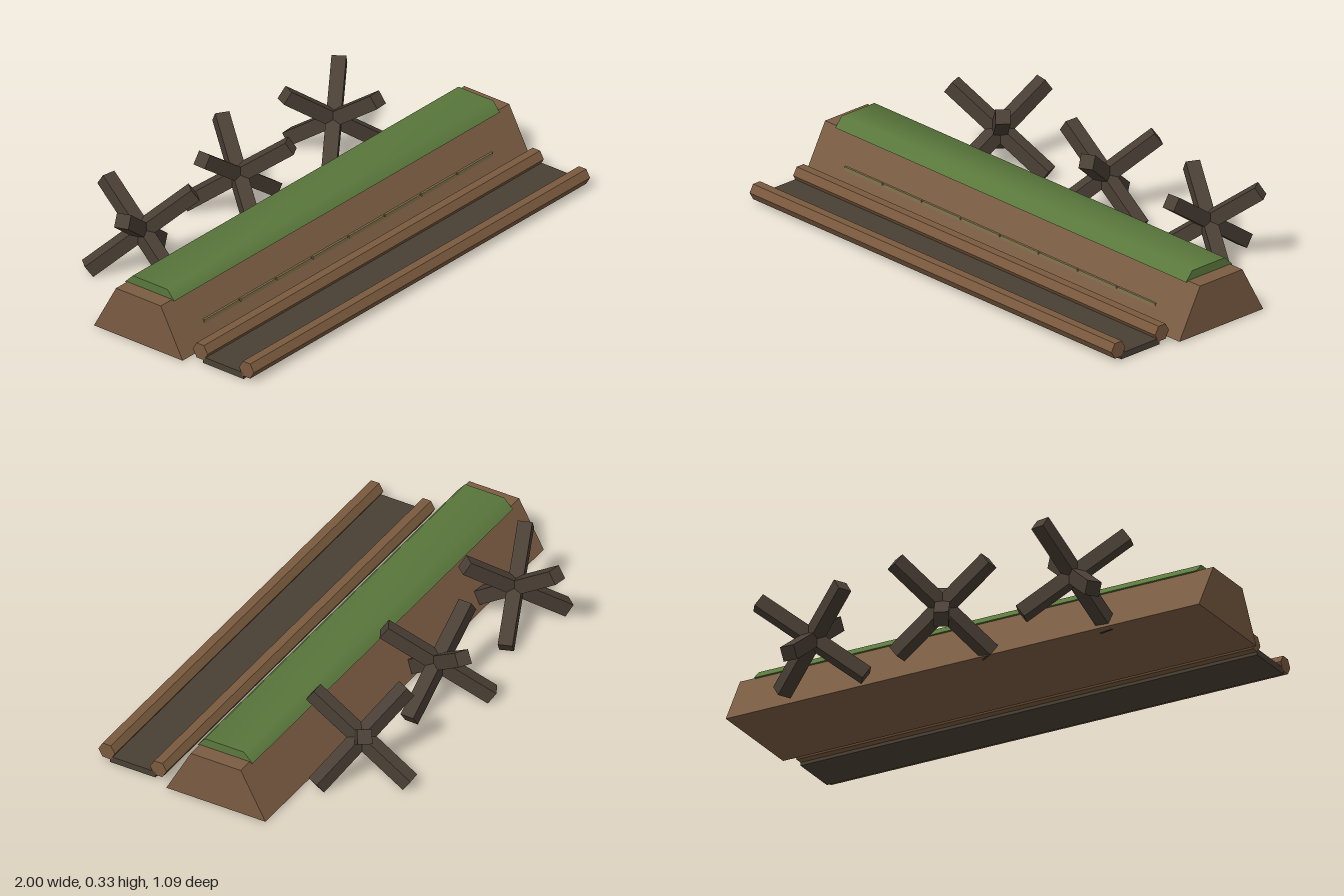
import * as THREE from 'three';
import { toCreasedNormals } from 'three/addons/utils/BufferGeometryUtils.js';

const material = (name, color) => {
  const m = new THREE.MeshStandardMaterial({ color });
  m.name = name;
  return m;
};

// Extrude a [z, y] profile along x, centred on x = 0
function prism(profile, length) {
  const shape = new THREE.Shape(profile.map(([z, y]) => new THREE.Vector2(-z, y)));
  const geo = new THREE.ExtrudeGeometry(shape, { depth: length, bevelEnabled: false });
  geo.translate(0, 0, -length / 2);
  geo.rotateY(Math.PI / 2);
  return geo;
}

export function createModel() {
  const model = new THREE.Group();
  model.name = 'trenchBarrier';
  const earth = material('earth', 0x7a5c42);
  const grass = material('grass', 0x5a783c);
  const wood = material('wood', 0x7a5a3e);
  const planks = material('planks', 0x4a4034);
  const steel = material('darkBeam', 0x4a3f35);
  const sack = material('sackcloth', 0x85754e);

  const add = (name, geo, mat, x = 0, y = 0, z = 0, parent = model) => {
    const mesh = new THREE.Mesh(geo, mat);
    mesh.name = name;
    mesh.position.set(x, y, z);
    parent.add(mesh);
    return mesh;
  };

  // Earth bank with a soft turf cap
  add('earthBank', prism([[0.235, 0.005], [0.131, 0.197], [-0.082, 0.197], [-0.187, 0.005]], 2), earth);
  const turf = prism([[0.141, 0.193], [0.109, 0.231], [-0.056, 0.231], [-0.094, 0.193]], 1.87);
  add('turfCap', toCreasedNormals(turf, 1.0), grass);

  // Row of blocks just breaking the front slope
  const block = new THREE.BoxGeometry(0.2, 0.05, 0.06);
  for (let i = 0; i < 8; i++) {
    add('slopeBlock', block, sack, (i - 3.5) * 0.208, 0.065, 0.167);
  }

  // Trench floor between two hexagonal logs
  add('trenchFloor', new THREE.BoxGeometry(1.93, 0.025, 0.194), planks, 0, 0.0175, 0.399);
  const log = prism(Array.from({ length: 6 }, (_, i) => {
    const a = (i * Math.PI) / 3;
    return [0.035 * Math.cos(a), 0.035 * Math.sin(a)];
  }), 1.93);
  for (const z of [0.29, 0.51]) add('edgeLog', log, wood, 0, 0.048, z);

  // Three-beam obstacles behind the bank; the beams are mutually perpendicular
  const beam = new THREE.BoxGeometry(0.486, 0.055, 0.055);
  const tilt = Math.atan(Math.SQRT1_2);
  for (const [x, turn] of [[-0.557, 80], [0, 58], [0.552, 34]]) {
    const obstacle = new THREE.Group();
    obstacle.name = 'beamObstacle';
    obstacle.position.set(x, 0.165, -0.331);
    for (let i = 0; i < 3; i++) {
      const b = add('beam', beam, steel, 0, 0, 0, obstacle);
      b.rotation.set(0, THREE.MathUtils.degToRad(turn + i * 120), tilt);
    }
    model.add(obstacle);
  }
  return model;
}
